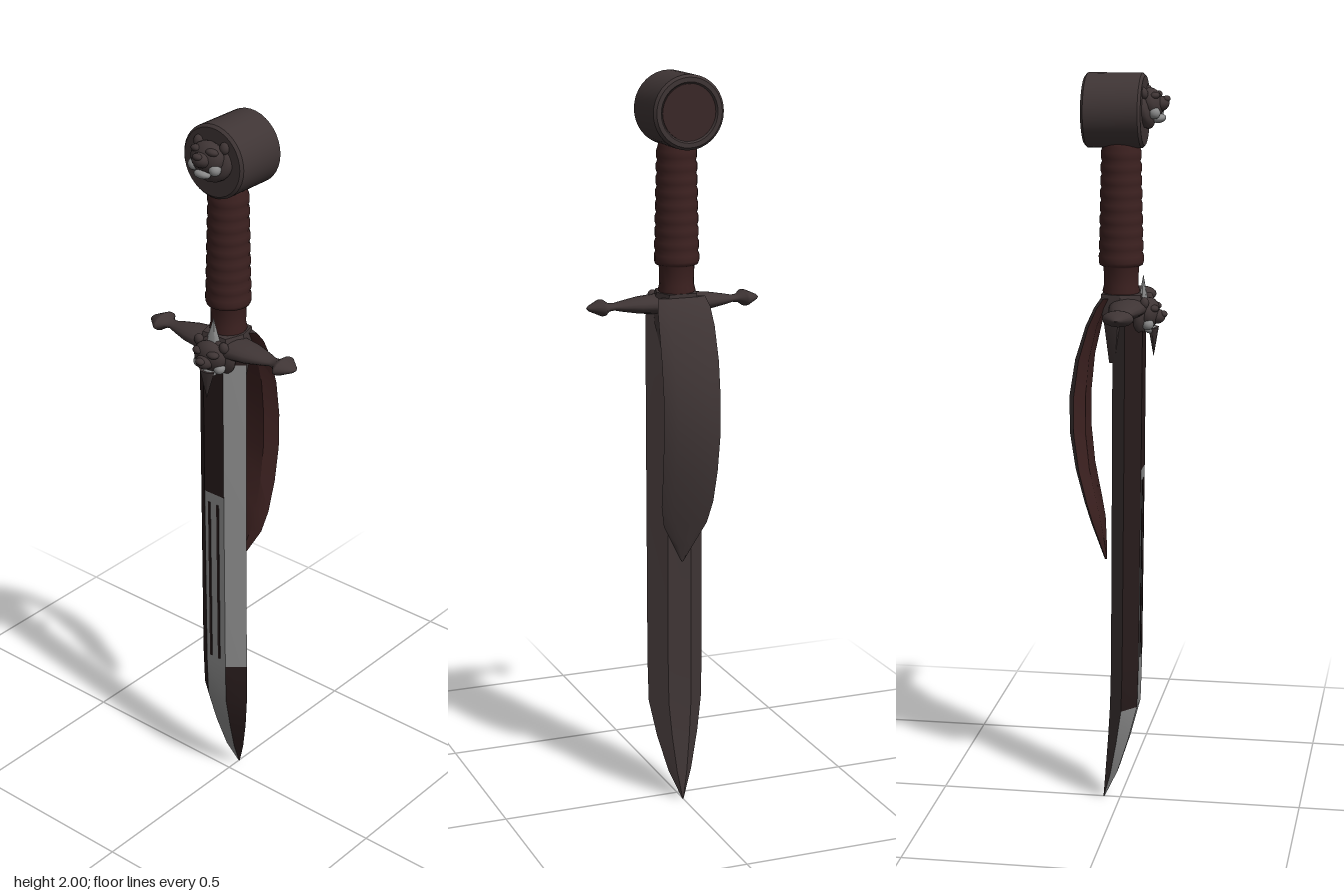
import * as THREE from 'three';
import { toCreasedNormals } from 'three/addons/utils/BufferGeometryUtils.js';

const mat = (name, color, side = THREE.FrontSide) => {
  const m = new THREE.MeshStandardMaterial({ color, side });
  m.name = name;
  return m;
};

export function createModel() {
  const model = new THREE.Group();
  const bronze = mat('dark bronze', 0x3f3535);
  const leather = mat('red leather', 0x3c2120);
  const lining = mat('dark lining', 0x271b1b);
  const steel = mat('steel', 0x8a8a8a);
  const disc = mat('pommel disc', 0x3a2828);

  const add = (name, geo, material, x = 0, y = 0, z = 0, parent = model) => {
    const mesh = new THREE.Mesh(geo, material);
    mesh.name = name;
    mesh.position.set(x, y, z);
    parent.add(mesh);
    return mesh;
  };

  // Six-sided section: flat inner and outer faces with bevels to a thin edge
  const hexRing = (y, x0, x1, h, edge, flat) => [
    [x1, y, -h * flat], [x1, y, h * flat], [edge, y, h],
    [x0, y, h * flat], [x0, y, -h * flat], [edge, y, -h],
  ];

  // Skins rings listed from bottom to top; pick(side, level) gives a material index
  const loft = (rings, pick, crease) => {
    const n = rings[0].length, pos = [], slots = [];
    for (let j = 0; j < rings.length - 1; j++) {
      for (let i = 0; i < n; i++) {
        const k = (i + 1) % n;
        const a = rings[j][i], b = rings[j][k], c = rings[j + 1][k], d = rings[j + 1][i];
        pos.push(...a, ...d, ...c, ...a, ...c, ...b);
        slots.push(pick(i, j));
      }
    }
    const top = rings[rings.length - 1];
    for (let i = 1; i < n - 1; i++) pos.push(...top[0], ...top[i + 1], ...top[i]);
    let g = new THREE.BufferGeometry();
    g.setAttribute('position', new THREE.Float32BufferAttribute(pos, 3));
    g = toCreasedNormals(g, crease);
    slots.forEach((s, q) => g.addGroup(q * 6, 6, s));
    g.addGroup(slots.length * 6, (n - 2) * 3, 0);
    return g;
  };

  // Blade: bronze outer half, steel and dark bevels on the inner half
  const bladeRings = [
    [0, 0.044, 0.047, 0.002], [0.08, 0.006, 0.039, 0.034], [0.18, -0.026, 0.03, 0.06],
    [0.28, -0.052, 0.023, 0.078], [0.4, -0.056, 0.02, 0.08], [0.95, -0.062, 0.017, 0.08],
    [1.35, -0.065, 0.015, 0.08], [1.41, -0.065, 0.015, 0.075],
  ].map(([y, a, b, h]) => hexRing(y, a, b, h, (a + b) / 2, 0.42));
  const bladePick = (side, level) => {
    if (side === 2) return level > 3 && level < 6 ? 1 : 2;
    if (side === 3) return level < 5 ? 1 : 2;
    if (side === 4) return level < 3 ? 1 : 2;
    return 0;
  };
  add('blade', loft(bladeRings, bladePick, 0.3), [bronze, steel, lining]);

  // Streaks on the inner face of the blade
  for (const z of [-0.017, 0.012]) {
    const s = add('bladeStreak', new THREE.BoxGeometry(0.004, 0.5, 0.007), lining, -0.0595, 0.67, z);
    s.rotation.z = 0.011;
  }

  // Bowed leaf that hangs from the guard
  const leafRings = [
    [0.69, 0.036, 0.042, 0.003], [0.74, 0.04, 0.056, 0.03], [0.8, 0.046, 0.073, 0.062],
    [0.86, 0.058, 0.09, 0.074], [0.95, 0.076, 0.113, 0.078], [1.05, 0.086, 0.128, 0.08],
    [1.15, 0.086, 0.129, 0.08], [1.25, 0.076, 0.113, 0.08], [1.34, 0.055, 0.085, 0.078],
    [1.39, 0.035, 0.062, 0.074], [1.415, 0.02, 0.045, 0.066],
  ].map(([y, a, b, h]) => hexRing(y, a, b, h, a + (b - a) * 0.62, 0.6));
  add('leaf', loft(leafRings, (side) => (side > 1 && side < 5 ? 1 : 0), 0.6), [bronze, leather]);

  // Cross guard with a flared knob on each arm
  const arm = [
    [0.0005, 0.245], [0.014, 0.237], [0.041, 0.206], [0.041, 0.199], [0.021, 0.184],
    [0.018, 0.168], [0.026, 0.148], [0.042, 0.1], [0.05, 0.05],
  ];
  const guardProfile = [
    ...arm.map(([r, z]) => new THREE.Vector2(r, -z)),
    ...arm.slice().reverse().map(([r, z]) => new THREE.Vector2(r, z)),
  ];
  const guardGeo = new THREE.LatheGeometry(guardProfile, 16);
  guardGeo.rotateX(Math.PI / 2).scale(1, 0.52, 1);
  add('guard', guardGeo, bronze, -0.027, 1.39, 0);

  // Block that joins guard, blade and leaf
  const collar = [
    [1.24, -0.01, 0.025, 0.04], [1.34, -0.04, 0.035, 0.062],
    [1.39, -0.07, 0.045, 0.062], [1.425, -0.06, 0.045, 0.055],
  ].map(([y, a, b, h]) => hexRing(y, a, b, h, (a + b) / 2, 0.7));
  add('collar', loft(collar, () => 0, 0.3), [bronze]);

  // Ribbed grip
  const gripProfile = [[0.001, 1.41], [0.047, 1.41], [0.047, 1.425], [0.05, 1.43], [0.046, 1.445], [0.047, 1.495]];
  for (let i = 0; i < 9; i++) {
    const y = 1.5 + i * 0.034, r = 0.06 - i * 0.0008;
    gripProfile.push([r - 0.003, y], [r, y + 0.009], [r, y + 0.025]);
  }
  gripProfile.push([0.049, 1.81], [0.047, 1.84], [0.001, 1.84]);
  add('grip', new THREE.LatheGeometry(gripProfile.map((p) => new THREE.Vector2(...p)), 20), leather, -0.003, 0, 0);

  // Drum pommel lying along x, with softened rims
  const drum = [[0.001, -0.078], [0.09, -0.078], [0.097, -0.071], [0.097, 0.071], [0.09, 0.078], [0.078, 0.078], [0.074, 0.072], [0.001, 0.072]];
  const drumGeo = toCreasedNormals(new THREE.LatheGeometry(drum.map((p) => new THREE.Vector2(...p)), 36), 0.6);
  drumGeo.rotateZ(-Math.PI / 2);
  add('pommel', drumGeo, bronze, 0.012, 1.903, 0);
  const discGeo = new THREE.CylinderGeometry(0.073, 0.073, 0.004, 32).rotateZ(-Math.PI / 2);
  add('pommelDisc', discGeo, disc, 0.085, 1.903, 0);

  // Carved beast head facing -x: skull, mane, muzzle, nose, brows, ears and jaw
  const carvedHead = (name, x, y, tilt, jawMat) => {
    const head = new THREE.Group();
    head.name = name;
    head.position.set(x, y, 0);
    head.rotation.z = tilt;
    model.add(head);
    const lump = (part, m, px, py, pz, sx, sy, sz) =>
      add(part, new THREE.IcosahedronGeometry(1, 2).scale(sx, sy, sz), m, px, py, pz, head);
    lump('mane', bronze, 0.012, 0, 0, 0.025, 0.055, 0.066);
    lump('skull', bronze, -0.008, 0.008, 0, 0.03, 0.042, 0.05);
    lump('muzzle', bronze, -0.03, 0.002, 0, 0.024, 0.02, 0.026);
    lump('nose', bronze, -0.048, 0.01, 0, 0.011, 0.009, 0.014);
    lump('jaw', jawMat, -0.018, -0.034, 0, 0.018, 0.012, 0.024);
    for (const s of [-1, 1]) {
      lump('brow', bronze, -0.024, 0.026, s * 0.024, 0.014, 0.01, 0.018);
      lump('ear', bronze, 0.0, 0.04, s * 0.042, 0.012, 0.016, 0.014);
      lump('cheek', jawMat, -0.014, -0.016, s * 0.034, 0.016, 0.016, 0.016);
    }
  };
  carvedHead('pommelHead', -0.077, 1.912, -0.25, steel);
  carvedHead('guardHead', -0.067, 1.365, 0.1, steel);

  // Pale crest above and fang below the guard head
  const crest = add('guardCrest', new THREE.ConeGeometry(0.016, 0.09, 6), steel, -0.062, 1.43, 0);
  crest.scale.z = 2;
  const fang = add('guardFang', new THREE.ConeGeometry(0.014, 0.08, 6), bronze, -0.09, 1.295, 0);
  fang.rotation.z = Math.PI;
  fang.scale.z = 1.8;

  return model;
}
